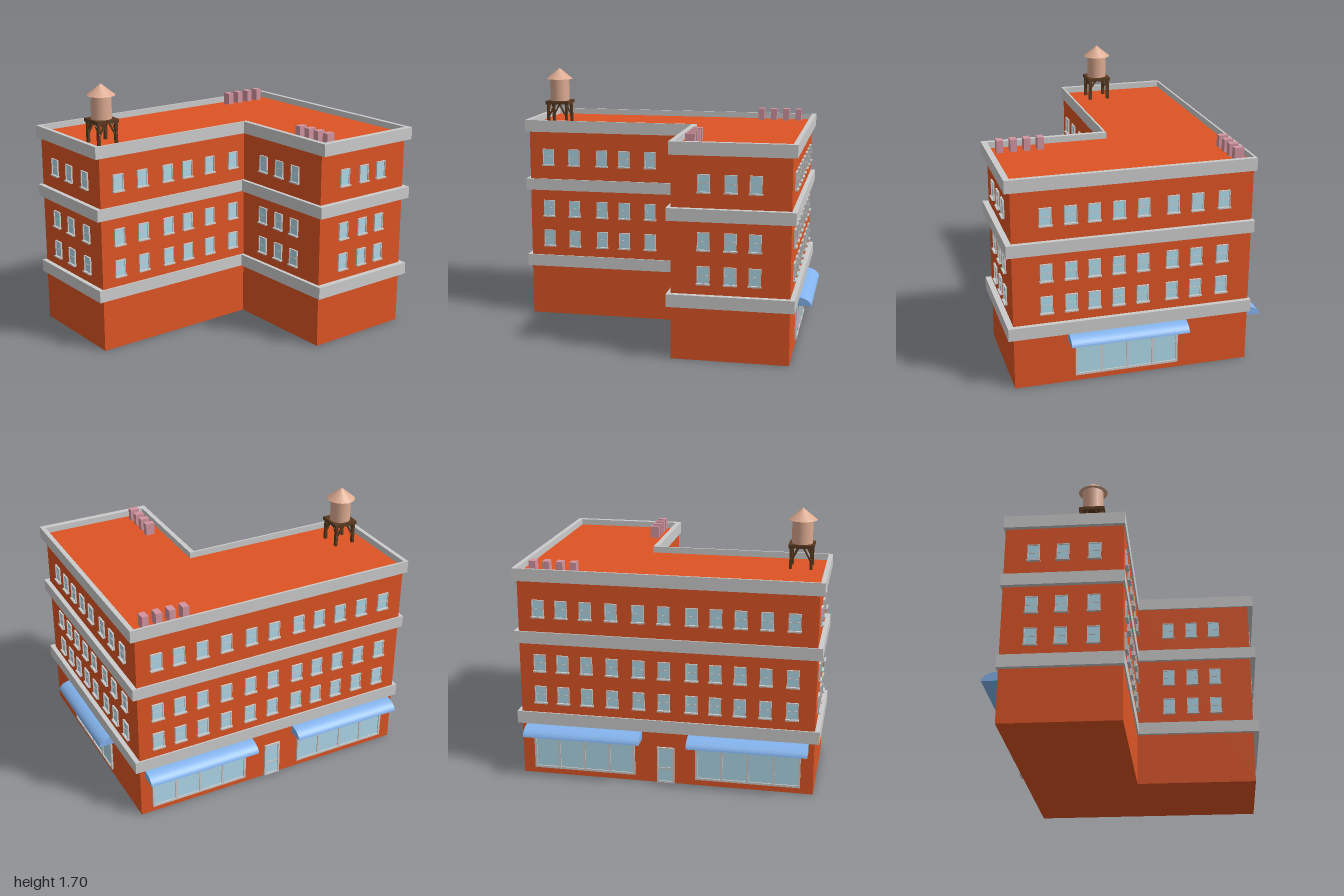
import * as THREE from 'three';

const mat = (color, side = THREE.FrontSide) => new THREE.MeshStandardMaterial({ color, side });
const BRICK = mat(0xdd5424), STONE = mat(0xcccccc), GLASS = mat(0xaed9ea), BLUE = mat(0x84b4ee, THREE.DoubleSide);
const WOOD = mat(0x5a3a20), TANK = mat(0xdcaa90), PINK = mat(0xd294a0);

function add(parent, name, geo, material, x = 0, y = 0, z = 0) {
  const m = new THREE.Mesh(geo, material);
  m.name = name;
  m.position.set(x, y, z);
  parent.add(m);
  return m;
}
const box = (w, h, d) => new THREE.BoxGeometry(w, h, d);

// L-shaped plan: left, inner and right x; back, inner and front z
function plan([xl, xi, xr, zb, zi, zf], Type = THREE.Shape) {
  const pts = [[xl, zf], [xi, zf], [xi, zi], [xr, zi], [xr, zb], [xl, zb]];
  return new Type(pts.map(([x, z]) => new THREE.Vector2(x, -z)));
}
function slab(outer, height, inner) {
  const s = plan(outer);
  if (inner) s.holes.push(plan(inner, THREE.Path));
  return new THREE.ExtrudeGeometry(s, { depth: height, bevelEnabled: false }).rotateX(-Math.PI / 2);
}

// Rectangular frame in the xy plane, standing out along +z
function frameGeo(w, h, t, depth) {
  const rect = (Type, a, b) => new Type([[-a, -b], [a, -b], [a, b], [-a, b]].map(p => new THREE.Vector2(...p)));
  const s = rect(THREE.Shape, w / 2, h / 2);
  s.holes.push(rect(THREE.Path, w / 2 - t, h / 2 - t));
  return new THREE.ExtrudeGeometry(s, { depth, bevelEnabled: false });
}

const winFrame = frameGeo(0.076, 0.112, 0.006, 0.011);
const winGlass = box(0.066, 0.102, 0.008), winRail = box(0.066, 0.005, 0.014), winSill = box(0.084, 0.009, 0.04);

function sashWindow() {
  const g = new THREE.Group();
  g.name = 'window';
  add(g, 'windowFrame', winFrame, STONE);
  add(g, 'windowGlass', winGlass, GLASS);
  add(g, 'windowRail', winRail, STONE);
  add(g, 'windowSill', winSill, STONE, 0, -0.055, 0);
  return g;
}

// Shop window with four panes under a curved awning
function shopFront() {
  const g = new THREE.Group();
  g.name = 'shopFront';
  const w = 0.66, h = 0.27, cy = 0.175;
  add(g, 'shopFrame', frameGeo(w, h, 0.014, 0.012), STONE, 0, cy, 0);
  add(g, 'shopGlass', box(w - 0.02, h - 0.02, 0.008), GLASS, 0, cy, 0);
  for (let i = -1; i <= 1; i++) add(g, 'shopMullion', box(0.014, h - 0.02, 0.022), STONE, i * w / 4, cy, 0);
  const s = new THREE.Shape();
  s.moveTo(0, 0.283);
  s.lineTo(0.105, 0.283);
  s.bezierCurveTo(0.1, 0.315, 0.06, 0.34, 0, 0.34);
  s.closePath();
  const awning = new THREE.ExtrudeGeometry(s, { depth: 0.75, bevelEnabled: false, curveSegments: 10 });
  awning.translate(0, 0, -0.375).rotateY(-Math.PI / 2);
  add(g, 'awning', awning, BLUE);
  return g;
}

function door() {
  const g = new THREE.Group();
  g.name = 'door';
  add(g, 'doorFrame', frameGeo(0.11, 0.24, 0.012, 0.012), STONE, 0, 0.122, 0);
  add(g, 'doorGlass', box(0.09, 0.22, 0.008), GLASS, 0, 0.122, 0);
  add(g, 'doorRail', box(0.09, 0.012, 0.018), STONE, 0, 0.1, 0);
  return g;
}

function waterTower() {
  const g = new THREE.Group();
  g.name = 'waterTower';
  const base = 1.32, deck = 1.455;
  for (const sx of [-1, 1]) for (const sz of [-1, 1]) {
    add(g, 'towerLeg', box(0.022, deck - base, 0.016), WOOD, sx * 0.064, (base + deck) / 2, sz * 0.064);
    // slanted struts from leg to deck, one in each direction
    const a = add(g, 'towerStrut', box(0.01, 0.1, 0.01), WOOD, sx * 0.045, 1.425, sz * 0.064);
    a.rotation.z = sx * 0.6;
    const b = add(g, 'towerStrut', box(0.01, 0.11, 0.01), WOOD, sx * 0.064, 1.41, sz * 0.04);
    b.rotation.x = -sz * 0.5;
  }
  add(g, 'towerDeck', box(0.16, 0.022, 0.16), WOOD, 0, 1.465, 0);
  add(g, 'tank', new THREE.CylinderGeometry(0.066, 0.066, 0.155, 24), TANK, 0, 1.552, 0);
  add(g, 'tankRoof', new THREE.ConeGeometry(0.092, 0.075, 24), TANK, 0, 1.6625, 0);
  g.position.set(-0.2, 0, 0.815);
  return g;
}

export function createModel() {
  const root = new THREE.Group();
  root.name = 'cornerBuilding';

  // Walls, roof and stone bands
  add(root, 'walls', slab([-0.72, 0.01, 0.783, -0.895, -0.165, 0.97], 1.32), BRICK);
  const bandPlan = [-0.73, 0.02, 0.82, -0.925, -0.14, 1];
  add(root, 'lowerBand', slab(bandPlan, 0.08), STONE, 0, 0.34, 0);
  add(root, 'middleBand', slab(bandPlan, 0.078), STONE, 0, 0.878, 0);
  add(root, 'parapet', slab([-0.73, 0.02, 0.82, -0.925, -0.155, 1], 0.08,
    [-0.716, 0.007, 0.783, -0.895, -0.187, 0.972]), STONE, 0, 1.28, 0);

  // Each wall: offset along its normal, turn about y, window centres along it
  const walls = [
    { name: 'frontWindows', at: u => [u, 0.97], turn: 0, list: [-0.54, -0.36, -0.165] },
    { name: 'innerFrontWindows', at: u => [u, -0.165], turn: 0, list: [0.225, 0.385, 0.54] },
    { name: 'innerRightWindows', at: u => [0.01, u], turn: Math.PI / 2, list: [0.84, 0.66, 0.465, 0.31, 0.13, -0.065] },
    { name: 'rightWindows', at: u => [0.783, u], turn: Math.PI / 2, list: [-0.365, -0.53, -0.68] },
    { name: 'backWindows', at: u => [u, -0.895], turn: Math.PI,
      list: [0.577, 0.424, 0.28, 0.128, -0.025, -0.21, -0.364, -0.534] },
    { name: 'leftWindows', at: u => [-0.72, u], turn: -Math.PI / 2,
      list: [-0.765, -0.617, -0.463, -0.3, -0.13, 0.03, 0.204, 0.352, 0.505, 0.664, 0.828] },
  ];
  for (const { name, at, turn, list } of walls) {
    const row = new THREE.Group();
    row.name = name;
    for (const y of [0.542, 0.752, 1.108]) for (const u of list) {
      const w = sashWindow(), [x, z] = at(u);
      w.position.set(x, y, z);
      w.rotation.y = turn;
      row.add(w);
    }
    root.add(row);
  }

  // Street level: two shops and a door on the left, one shop at the back
  const place = (part, x, z, turn) => {
    part.position.set(x, 0, z);
    part.rotation.y = turn;
    root.add(part);
  };
  place(shopFront(), -0.72, -0.488, -Math.PI / 2);
  place(shopFront(), -0.72, 0.56, -Math.PI / 2);
  place(door(), -0.72, 0.04, -Math.PI / 2);
  place(shopFront(), 0.072, -0.895, Math.PI);

  // Rooftop
  for (const z of [-0.805, -0.718, -0.632, -0.545]) add(root, 'chimney', box(0.06, 0.08, 0.042), PINK, -0.65, 1.36, z);
  for (const x of [0.465, 0.551, 0.637, 0.723]) add(root, 'chimney', box(0.042, 0.08, 0.06), PINK, x, 1.36, -0.273);
  root.add(waterTower());
  return root;
}
